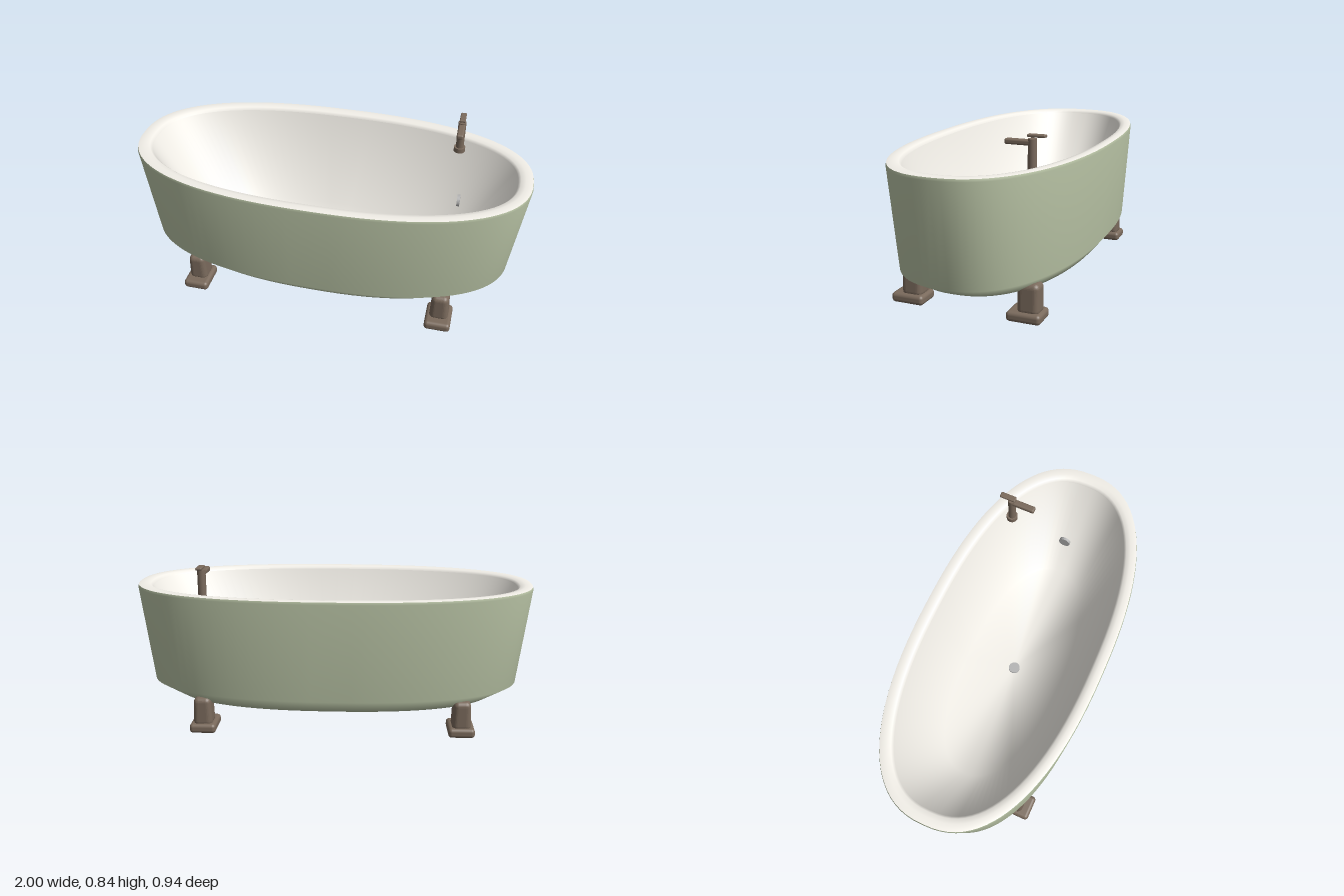
import * as THREE from 'three';
import { RoundedBoxGeometry } from 'three/addons/geometries/RoundedBoxGeometry.js';

const SEGMENTS = 96;
const material = (color) => new THREE.MeshStandardMaterial({ color, side: THREE.DoubleSide });
const sage = material(0xbdc8a9);
const enamel = material(0xf2efe8);
const bronze = material(0x7a6a5c);
const steel = material(0xb4b4b4);

function addMesh(parent, name, geometry, mat, x = 0, y = 0, z = 0) {
  const mesh = new THREE.Mesh(geometry, mat);
  mesh.name = name;
  mesh.position.set(x, y, z);
  parent.add(mesh);
  return mesh;
}

// Skin through stacked rounded-oval rings, each [half length, half width, height, exponent].
// Rings run upward on the outside, then inward and down on the inside.
function ovalSkin(rings) {
  const positions = [];
  const indices = [];
  for (const [a, b, y, n = 2.38] of rings) {
    for (let i = 0; i < SEGMENTS; i++) {
      const t = (i / SEGMENTS) * Math.PI * 2;
      const c = Math.cos(t);
      const s = Math.sin(t);
      positions.push(
        a * Math.sign(c) * Math.abs(c) ** (2 / n), y,
        b * Math.sign(s) * Math.abs(s) ** (2 / n));
    }
  }
  for (let r = 0; r < rings.length - 1; r++) {
    for (let i = 0; i < SEGMENTS; i++) {
      const j = (i + 1) % SEGMENTS;
      const p = r * SEGMENTS + i;
      const q = r * SEGMENTS + j;
      indices.push(p, p + SEGMENTS, q, q, p + SEGMENTS, q + SEGMENTS);
    }
  }
  const geometry = new THREE.BufferGeometry();
  geometry.setAttribute('position', new THREE.Float32BufferAttribute(positions, 3));
  geometry.setIndex(indices);
  geometry.computeVertexNormals();
  return geometry;
}

function createTub() {
  const tub = new THREE.Group();
  tub.name = 'tub';
  // Outer shell with chamfered underside
  addMesh(tub, 'shell', ovalSkin([
    [0.002, 0.001, 0.143], [0.82, 0.387, 0.143], [0.94, 0.442, 0.21],
    [1, 0.47, 0.692], [0.997, 0.467, 0.704],
  ]), sage);
  // Rounded rim
  addMesh(tub, 'rim', ovalSkin([
    [0.997, 0.467, 0.704], [0.985, 0.457, 0.706], [0.962, 0.437, 0.707],
    [0.938, 0.417, 0.703], [0.926, 0.407, 0.692], [0.922, 0.403, 0.675],
  ]), enamel);
  // Straight sloping basin wall blending into the floor
  addMesh(tub, 'basin', ovalSkin([
    [0.926, 0.405, 0.69], [0.64, 0.262, 0.21, 2.25], [0.002, 0.001, 0.2, 2.25],
  ]), enamel);
  return tub;
}

function createFoot(sx, sz) {
  const foot = new THREE.Group();
  foot.name = 'foot';
  // Every pad sits a little forward of its post
  addMesh(foot, 'footPad', new RoundedBoxGeometry(0.13, 0.048, 0.165, 4, 0.018), bronze, 0, 0.024, 0.015);
  // Post narrows slightly toward the top
  const post = new RoundedBoxGeometry(0.09, 0.15, 0.105, 4, 0.026);
  const p = post.attributes.position;
  for (let i = 0; i < p.count; i++) p.setX(i, p.getX(i) * (1 - p.getY(i) * 0.8));
  post.computeVertexNormals();
  addMesh(foot, 'footPost', post, bronze, 0, 0.106, 0);
  foot.position.set(sx * 0.64, 0, sz * 0.292);
  return foot;
}

function createTap() {
  const tap = new THREE.Group();
  tap.name = 'tap';
  addMesh(tap, 'tapCollar', new THREE.CylinderGeometry(0.029, 0.029, 0.025, 24), bronze, 0, 0.657, 0);
  addMesh(tap, 'tapColumn', new THREE.CylinderGeometry(0.02, 0.02, 0.165, 24), bronze, 0, 0.733, 0);
  addMesh(tap, 'tapSpout', new RoundedBoxGeometry(0.034, 0.025, 0.14, 3, 0.009), bronze, 0, 0.798, 0.055);
  addMesh(tap, 'tapHandle', new RoundedBoxGeometry(0.03, 0.013, 0.083, 3, 0.005), bronze, 0, 0.829, -0.021);
  tap.position.set(0.62, 0, -0.291);
  return tap;
}

export function createModel() {
  const model = new THREE.Group();
  model.name = 'bathtub';
  model.add(createTub(), createTap());
  for (const sx of [-1, 1]) for (const sz of [-1, 1]) model.add(createFoot(sx, sz));

  // Drain and overflow plates
  addMesh(model, 'drain', new THREE.CylinderGeometry(0.03, 0.03, 0.012, 24), steel, 0, 0.203, 0);
  const overflow = addMesh(model, 'overflow',
    new THREE.CylinderGeometry(0.03, 0.03, 0.014, 24), steel, 0.657, 0.54, 0);
  overflow.rotation.z = Math.PI / 2;
  return model;
}
